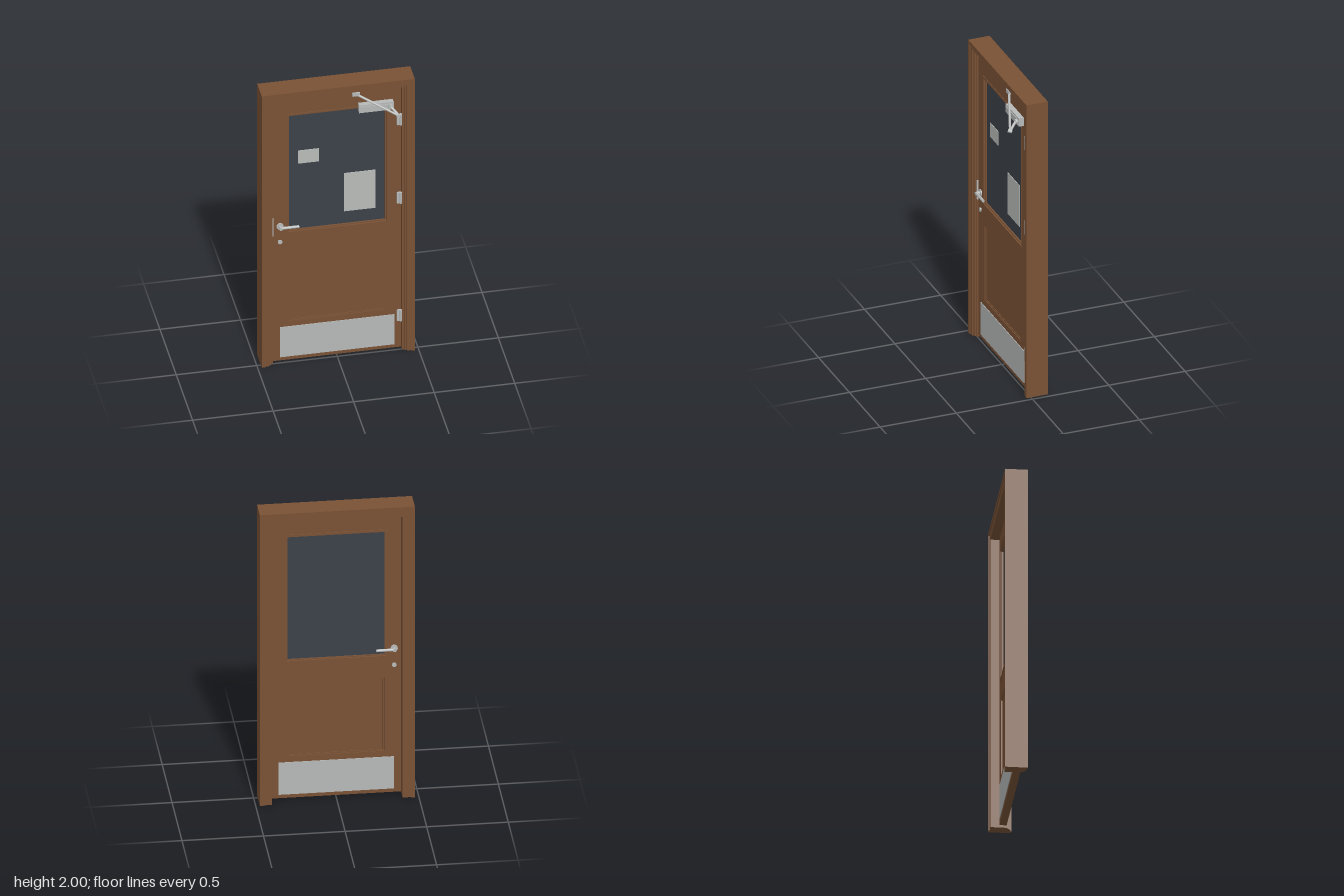
import * as THREE from 'three';

const mat = (name, color) => {
  const m = new THREE.MeshStandardMaterial({ color });
  m.name = name;
  return m;
};

export function createModel() {
  const root = new THREE.Group();
  root.name = 'door';
  const wood = mat('brown wood', 0x7a5235);
  const glassMat = mat('dark glass', 0x3b4048);
  const metal = mat('brushed metal', 0xb6b9b8);
  const paper = mat('notice grey', 0xb9bbb9);

  const add = (name, geo, m, parent = root) => {
    const mesh = new THREE.Mesh(geo, m);
    mesh.name = name;
    parent.add(mesh);
    return mesh;
  };
  // box from its limits
  const box = (name, m, x0, x1, y0, y1, z0, z1, parent) => {
    const b = add(name, new THREE.BoxGeometry(x1 - x0, y1 - y0, z1 - z0), m, parent);
    b.position.set((x0 + x1) / 2, (y0 + y1) / 2, (z0 + z1) / 2);
    return b;
  };
  const rod = (name, m, a, b, r, parent, sides = 16) => {
    const p = new THREE.Vector3(...a), q = new THREE.Vector3(...b);
    const c = add(name, new THREE.CylinderGeometry(r, r, p.distanceTo(q), sides), m, parent);
    c.position.copy(p).add(q).multiplyScalar(0.5);
    c.quaternion.setFromUnitVectors(new THREE.Vector3(0, 1, 0), q.sub(p).normalize());
    return c;
  };
  const rect = (P, x0, x1, y0, y1) => {
    const s = new P();
    s.moveTo(x0, y0).lineTo(x1, y0).lineTo(x1, y1).lineTo(x0, y1).closePath();
    return s;
  };
  // rectangular slab with rectangular holes, each [x0, x1, y0, y1]
  const slab = (name, m, outer, holes, z0, z1, parent) => {
    const s = rect(THREE.Shape, ...outer);
    holes.forEach(h => s.holes.push(rect(THREE.Path, ...h)));
    const g = new THREE.ExtrudeGeometry(s, { depth: z1 - z0, bevelEnabled: false });
    g.translate(0, 0, z0);
    return add(name, g, m, parent);
  };

  // frame: nested open-bottomed bands, stepping in towards the leaf
  const frame = new THREE.Group();
  frame.name = 'frame';
  root.add(frame);
  const bands = [
    // outer half width, inner half width, outer top, inner top, back, front
    [0.475, 0.452, 2, 1.978, -0.11, 0.03],
    [0.452, 0.428, 1.978, 1.956, -0.104, 0.024],
    [0.428, 0.413, 1.956, 1.943, -0.104, 0.014],
    [0.413, 0.4, 1.943, 1.93, -0.104, 0.002],
  ];
  bands.forEach(([w, i, t, u, z0, z1]) => {
    const s = new THREE.Shape();
    s.moveTo(-w, 0).lineTo(-i, 0).lineTo(-i, u).lineTo(i, u).lineTo(i, 0)
      .lineTo(w, 0).lineTo(w, t).lineTo(-w, t).closePath();
    const g = new THREE.ExtrudeGeometry(s, { depth: z1 - z0, bevelEnabled: false });
    g.translate(0, 0, z0);
    add('frameBand', g, wood, frame);
  });

  // leaf with window opening and lower panel opening
  const F = -0.005, B = -0.05;
  const leaf = new THREE.Group();
  leaf.name = 'leaf';
  root.add(leaf);
  const win = [-0.312, 0.312, 0.948, 1.817];
  const pan = [-0.295, 0.295, 0.3, 0.805];
  const inset = ([a, b, c, d], k) => [a + k, b - k, c + k, d - k];
  slab('leafBody', wood, [-0.397, 0.397, 0.015, 1.927], [win, pan], B, F, leaf);
  slab('windowMoulding', wood, inset(win, -0.006), [inset(win, 0.007)], B - 0.004, F + 0.004, leaf);
  slab('windowBead', wood, inset(win, 0.007), [inset(win, 0.014)], B + 0.005, F - 0.006, leaf);
  slab('panelMoulding', wood, pan, [inset(pan, 0.009)], B + 0.005, F - 0.005, leaf);
  const p = inset(pan, 0.009);
  box('lowerPanel', wood, ...p, B + 0.009, F - 0.009, leaf);
  const g = inset(win, 0.014);
  box('windowGlass', glassMat, ...g, -0.036, -0.022, leaf);

  // notices on the glass
  box('smallNotice', paper, -0.24, -0.11, 1.44, 1.535, -0.022, -0.018);
  box('largeNotice', paper, 0.045, 0.24, 1.05, 1.33, -0.022, -0.018);

  // fittings on both faces
  for (const [face, s] of [[F, 1], [B, -1]]) {
    const at = d => face + s * d;
    const span = (a, b) => [Math.min(at(a), at(b)), Math.max(at(a), at(b))];
    box('kickPlate', metal, -0.355, 0.355, 0.04, 0.26, ...span(0, 0.004));
    const handle = new THREE.Group();
    handle.name = 'leverHandle';
    root.add(handle);
    rod('rose', metal, [-0.355, 1.005, at(0)], [-0.355, 1.005, at(0.008)], 0.022, handle, 24);
    rod('neck', metal, [-0.355, 1.005, at(0)], [-0.355, 1.005, at(0.037)], 0.011, handle);
    rod('lever', metal, [-0.36, 1.006, at(0.029)], [-0.242, 1.006, at(0.029)], 0.009, handle);
    rod('lockCylinder', metal, [-0.355, 0.89, at(0)], [-0.355, 0.89, at(0.008)], 0.014, root, 20);
  }
  box('strikePlate', metal, -0.404, -0.396, 0.94, 1.07, -0.035, 0.003);

  // hinges
  for (const y of [1.695, 1.118, 0.252]) {
    const hinge = new THREE.Group();
    hinge.name = 'hinge';
    root.add(hinge);
    box('hingeLeaf', metal, 0.37, 0.402, y - 0.04, y + 0.04, F, 0.004, hinge);
    rod('hingeKnuckle', metal, [0.393, y - 0.04, 0.004], [0.393, y + 0.04, 0.004], 0.008, hinge);
  }

  // closer: body, head bracket and folding arm
  const closer = new THREE.Group();
  closer.name = 'doorCloser';
  root.add(closer);
  box('closerBody', metal, 0.13, 0.345, 1.792, 1.848, F, 0.028, closer);
  box('closerCover', metal, 0.137, 0.338, 1.803, 1.838, 0.028, 0.033, closer);
  rod('pinion', metal, [0.325, 1.822, 0.028], [0.325, 1.822, 0.046], 0.015, closer);
  box('headBracket', metal, 0.093, 0.138, 1.908, 1.932, -0.008, 0.012, closer);
  const elbow = [0.365, 1.785, 0.093];
  rod('longArm', metal, [0.115, 1.917, 0], elbow, 0.0075, closer);
  rod('shortArm', metal, [0.325, 1.822, 0.04], elbow, 0.0085, closer);
  rod('elbowJoint', metal, [0.358, 1.787, 0.103], [0.372, 1.783, 0.083], 0.012, closer);
  return root;
}
